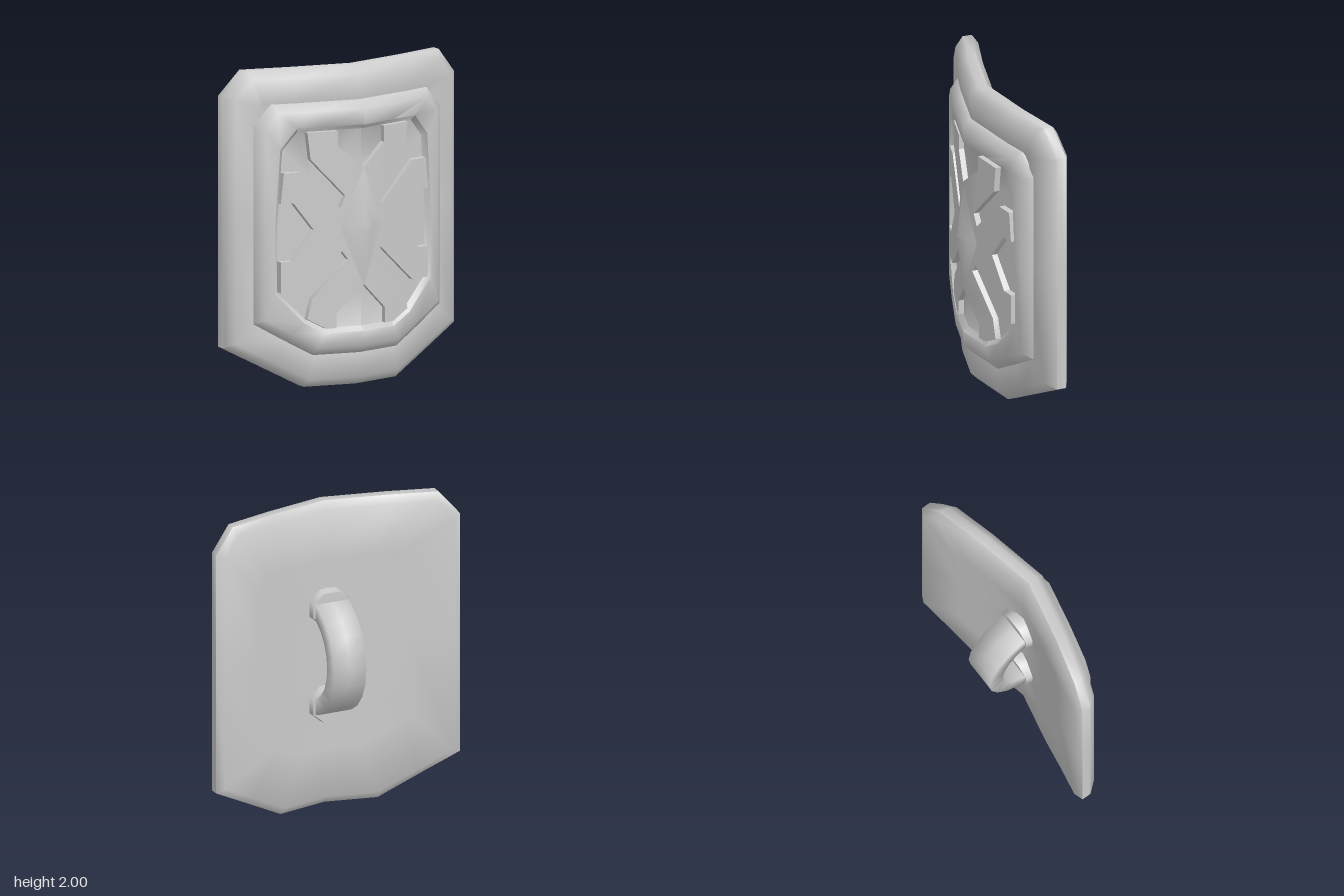
import * as THREE from 'three';
import { mergeGeometries, toCreasedNormals } from 'three/addons/utils/BufferGeometryUtils.js';

const material = new THREE.MeshStandardMaterial({ color: 0xcccccc });

// Sideways curve of the shield: a central ridge sweeping back to both edges
const bend = x => -(0.21 * Math.abs(x) + 0.06 * Math.max(0, Math.abs(x) - 0.4));

// Full outline from its right half (top centre to bottom centre)
const mirrored = half => [...half, ...half.slice(1, -1).reverse().map(([x, y]) => [-x, y])];

// Move every edge of a clockwise outline inwards by d
function inset(pts, d) {
  const n = pts.length;
  const outward = (a, b) => {
    const dx = b[0] - a[0], dy = b[1] - a[1], l = Math.hypot(dx, dy);
    return [-dy / l, dx / l];
  };
  return pts.map((p, i) => {
    const u = outward(pts[(i + n - 1) % n], p), v = outward(p, pts[(i + 1) % n]);
    const k = d / (1 + u[0] * v[0] + u[1] * v[1]);
    return [p[0] - (u[0] + v[0]) * k, p[1] - (u[1] + v[1]) * k];
  });
}

// Shrink an outline towards the middle of the shield
const shrink = (pts, s) => pts.map(([x, y]) => [x * s, 1 + (y - 1) * s]);

// Bent surface through rings of [outline, z]
function loft(rings, crease) {
  const n = rings[0][0].length, pos = [], index = [];
  for (const [pts, z] of rings) for (const [x, y] of pts) pos.push(x, y, z + bend(x));
  const collapsed = r => rings[r][0].every(([x]) => Math.abs(x) < 1e-6);
  for (let r = 0; r < rings.length - 1; r++) {
    for (let j = 0; j < n; j++) {
      const a = r * n + j, c = r * n + (j + 1) % n, b = a + n, d = c + n;
      if (!collapsed(r)) index.push(a, b, c);
      if (!collapsed(r + 1)) index.push(c, b, d);
    }
  }
  const g = new THREE.BufferGeometry();
  g.setAttribute('position', new THREE.Float32BufferAttribute(pos, 3));
  g.setIndex(index);
  return toCreasedNormals(g, crease);
}

export function createModel() {
  const group = new THREE.Group();
  const add = (name, geometry) => {
    const mesh = new THREE.Mesh(geometry, material);
    mesh.name = name;
    group.add(mesh);
    return mesh;
  };

  // Main plate with a rounded rim
  const plate = mirrored([[0, 2], [0.4, 2], [0.7, 2], [0.83, 1.845], [0.83, 1.05],
    [0.83, 0.27], [0.58, 0.135], [0.33, 0], [0, 0]]);
  const rim = inset(plate, 0.05);
  add('shieldPlate', loft([
    [shrink(rim, 0), 0.05], [shrink(rim, 0.33), 0.05], [shrink(rim, 0.66), 0.05], [rim, 0.05],
    [plate, 0.09], [plate, 0.15], [rim, 0.2], [inset(plate, 0.2), 0.2], [shrink(rim, 0.5), 0.12],
    [shrink(rim, 0), 0.12],
  ], 0.9));

  // Raised frame with the recessed panel inside it
  const frame = mirrored([[0, 1.79], [0.3, 1.79], [0.56, 1.79], [0.67, 1.66], [0.67, 1.04],
    [0.67, 0.42], [0.485, 0.31], [0.3, 0.205], [0, 0.205]]);
  const inner = mirrored([[0, 1.61], [0.25, 1.61], [0.41, 1.61], [0.5, 1.5], [0.53, 1.04],
    [0.53, 0.62], [0.36, 0.44], [0.24, 0.375], [0, 0.375]]);
  add('frameAndPanel', loft([
    [frame, 0.1], [frame, 0.2], [inset(frame, 0.05), 0.25], [inset(inner, -0.03), 0.25],
    [inner, 0.215], [shrink(inner, 0.66), 0.215], [shrink(inner, 0.33), 0.215], [shrink(inner, 0), 0.215],
  ], 0.9));

  // Crossed straps: two flat halves leaning back from the ridge
  const strap = [[0, 1.37], [0.165, 1.51], [0.165, 1.61], [0.36, 1.61], [0.34, 1.44], [0.117, 1.2],
    [0.15, 1.125], [0.4, 1.365], [0.51, 1.365], [0.53, 1.175], [0.45, 1.175], [0.32, 1], [0.455, 0.81],
    [0.53, 0.81], [0.53, 0.615], [0.4, 0.615], [0.14, 0.855], [0.1, 0.8], [0.33, 0.57], [0.36, 0.44],
    [0.24, 0.375], [0.175, 0.375], [0.175, 0.47], [0, 0.64]];
  const halves = [1, -1].map(side => {
    const shape = new THREE.Shape(strap.map(([x, y]) => new THREE.Vector2(side * x, y)));
    const g = new THREE.ExtrudeGeometry(shape, { depth: 0.05, bevelEnabled: false });
    const p = g.attributes.position;
    for (let i = 0; i < p.count; i++) p.setZ(i, p.getZ(i) + 0.2 - 0.21 * Math.abs(p.getX(i)));
    return g;
  });
  add('crossStraps', toCreasedNormals(mergeGeometries(halves), 0.6));

  // Shallow diamond point where the straps cross
  const diamond = [[0, 1.37], [0.15, 1], [0, 0.63], [-0.15, 1]];
  add('centrePoint', loft([[diamond, 0.25], [shrink(diamond, 0.5), 0.27], [shrink(diamond, 0), 0.29]], 0.9));

  // Curved grip on the back, a thick band softened by smooth normals
  const section = [[0.387, 0], [0.387, 0.11], [0.287, 0.11], [0.287, -0.11], [0.387, -0.11], [0.387, 0]];
  const grip = new THREE.LatheGeometry(section.map(([r, w]) => new THREE.Vector2(r, w)), 10, Math.PI - 1.4, 2.8);
  grip.rotateZ(Math.PI / 2).translate(0, 1, 0.1);
  add('grip', grip);

  // Eight-sided feet where the grip meets the plate
  for (const side of [1, -1]) {
    const foot = new THREE.CylinderGeometry(0.135, 0.15, 0.09, 8);
    foot.rotateY(Math.PI / 8).rotateX(-Math.PI / 2).scale(1, 0.85, 1);
    const mesh = add(side > 0 ? 'upperGripFoot' : 'lowerGripFoot', toCreasedNormals(foot, 0.9));
    mesh.position.set(0, 1 + side * 0.32, 0.025);
  }
  return group;
}
